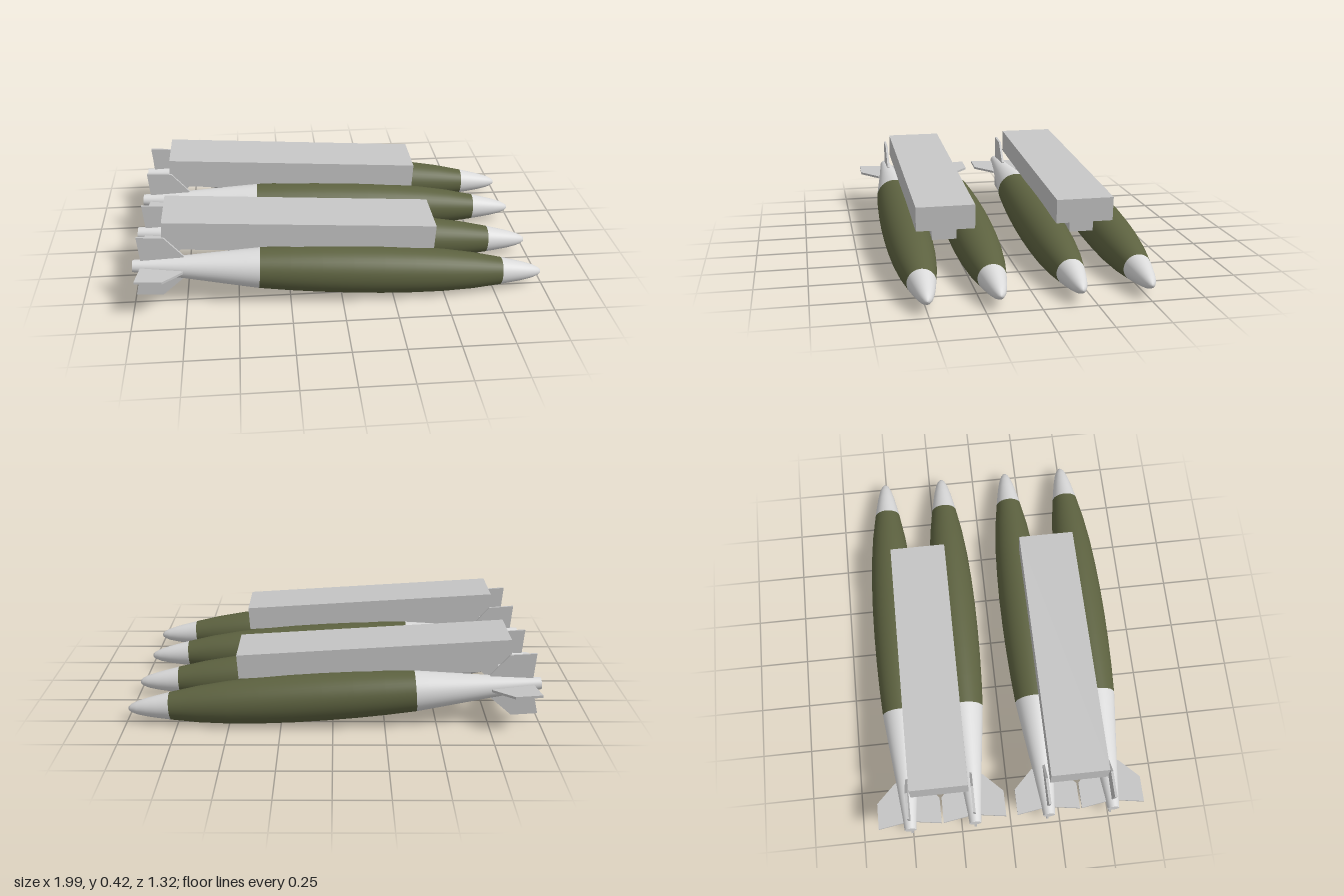
import * as THREE from 'three';

const mat = (name, color) => {
  const m = new THREE.MeshStandardMaterial({ color });
  m.name = name;
  return m;
};

export function createModel() {
  const olive = mat('olive', 0x5d6240);
  const pale = mat('paleGrey', 0xdadada);
  const grey = mat('rackGrey', 0xc6c6c6);

  // Body of revolution along x from [x, radius] pairs, tail to nose
  const turned = (pairs) => {
    const pts = pairs.map(([x, r]) => new THREE.Vector2(r, x));
    return new THREE.LatheGeometry(pts, 40).rotateZ(-Math.PI / 2);
  };
  const tailGeo = turned([[-0.995, 0], [-0.995, 0.029], [-0.995, 0.029], [-0.94, 0.034],
    [-0.75, 0.055], [-0.455, 0.091], [-0.395, 0.098]]);
  const bodyGeo = turned([[-0.395, 0.098], [-0.25, 0.107], [-0.1, 0.113], [0.05, 0.116], [0.2, 0.116],
    [0.35, 0.112], [0.5, 0.104], [0.65, 0.089], [0.79, 0.067]]);
  const noseGeo = turned([[0.79, 0.067], [0.85, 0.056], [0.9, 0.046], [0.95, 0.033],
    [0.98, 0.02], [0.992, 0.01], [0.995, 0]]);

  // Swept tail fin
  const finShape = new THREE.Shape([[-0.953, 0], [-0.977, 0.155], [-0.85, 0.155], [-0.755, 0.06], [-0.75, 0]]
    .map(([x, y]) => new THREE.Vector2(x, y)));
  const finGeo = new THREE.ExtrudeGeometry(finShape, { depth: 0.012, bevelEnabled: false }).translate(0, 0, -0.006);

  const add = (parent, name, geo, material) => {
    const m = new THREE.Mesh(geo, material);
    m.name = name;
    parent.add(m);
    return m;
  };

  const makeStore = (z) => {
    const g = new THREE.Group();
    g.name = 'finnedStore';
    add(g, 'tailCone', tailGeo, pale);
    add(g, 'body', bodyGeo, olive);
    add(g, 'noseCone', noseGeo, pale);
    for (let i = 0; i < 4; i++) add(g, 'tailFin', finGeo, grey).rotation.x = i * Math.PI / 2;
    g.position.set(-0.003, 0.148, z);
    g.rotation.z = -0.068;
    return g;
  };

  // Rack with a narrow hanger beneath it
  const makeRack = (z) => {
    const g = new THREE.Group();
    g.name = 'rack';
    add(g, 'rackBeam', new THREE.BoxGeometry(1.31, 0.12, 0.285), grey);
    add(g, 'hanger', new THREE.BoxGeometry(1.2, 0.07, 0.12), grey).position.set(0, -0.094, 0);
    g.position.set(-0.197, 0.329, z);
    g.rotation.z = -0.062;
    return g;
  };

  const model = new THREE.Group();
  model.name = 'storesOnRacks';
  for (const side of [-1, 1]) {
    const z = side * 0.343 + 0.002;
    model.add(makeRack(z), makeStore(z - 0.16), makeStore(z + 0.16));
  }
  return model;
}
